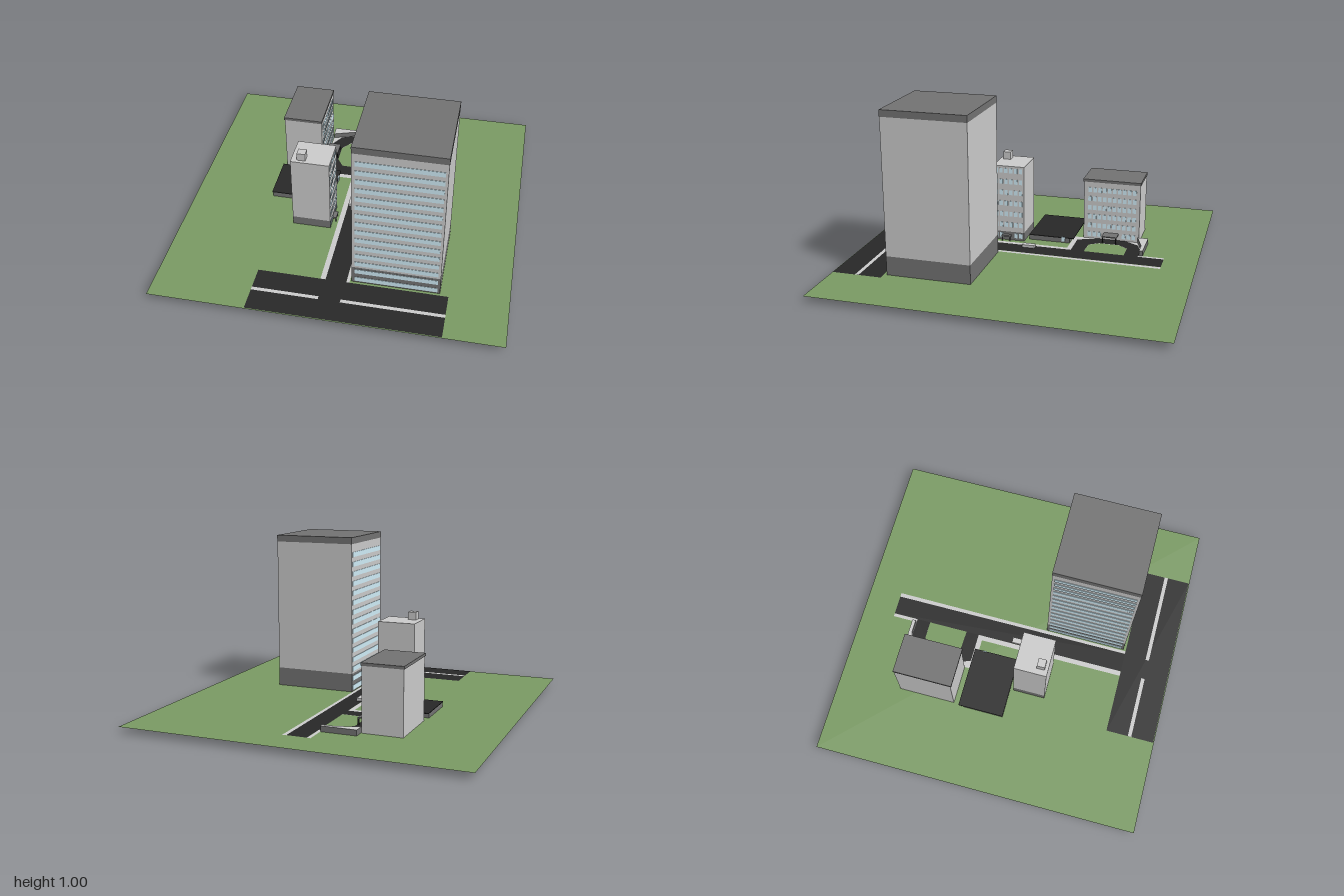
import * as THREE from 'three';

const mat = (color) => new THREE.MeshStandardMaterial({ color, side: THREE.DoubleSide });
const grass = mat(0x7a9a63), concrete = mat(0xcccccc), dark = mat(0x737373);
const asphalt = mat(0x282828), glass = mat(0xd0edf8);
const GROUND = 0.036;

export function createModel() {
  const model = new THREE.Group();

  // Box given by its minimum and maximum on each axis
  const box = (parent, name, material, x0, x1, y0, y1, z0, z1) => {
    const mesh = new THREE.Mesh(new THREE.BoxGeometry(x1 - x0, y1 - y0, z1 - z0), material);
    mesh.position.set((x0 + x1) / 2, (y0 + y1) / 2, (z0 + z1) / 2);
    mesh.name = name;
    parent.add(mesh);
  };
  // Flat outline in x and z, optionally with a hole or a thickness
  const flat = (parent, name, material, y, outline, hole, height = 0) => {
    const pts = (list) => list.map(([x, z]) => new THREE.Vector2(x, -z));
    const shape = new THREE.Shape(pts(outline));
    if (hole) shape.holes.push(new THREE.Path(pts(hole)));
    const geo = height
      ? new THREE.ExtrudeGeometry(shape, { depth: height, bevelEnabled: false })
      : new THREE.ShapeGeometry(shape);
    const mesh = new THREE.Mesh(geo.rotateX(-Math.PI / 2), material);
    mesh.position.y = y;
    mesh.name = name;
    parent.add(mesh);
  };
  const rect = (x0, x1, z0, z1) => [[x0, z0], [x0, z1], [x1, z1], [x1, z0]];
  const group = (name) => {
    const g = new THREE.Group();
    g.name = name;
    model.add(g);
    return g;
  };

  // Lawn
  flat(model, 'lawn', grass, GROUND, rect(-1, 1, -1, 1));

  // Streets and pavements, layered just above the lawn
  const streets = group('streets');
  const paveY = GROUND + 0.001, roadY = GROUND + 0.002, lineY = GROUND + 0.003;
  const island = [[-0.03, -0.56], [-0.15, -0.56], [-0.195, -0.5], [-0.195, -0.38], [-0.155, -0.32], [-0.03, -0.315]];
  flat(streets, 'leftPavement', concrete, paveY, rect(-0.07, -0.04, -0.205, 0.7));
  flat(streets, 'upperLeftPavement', concrete, paveY, rect(-0.06, -0.04, -0.8, -0.67));
  flat(streets, 'rightPavement', concrete, paveY, [[0.08, -0.8], [0.08, 0.7], [0.098, 0.7], [0.105, -0.8]]);
  flat(streets, 'loopPavement', concrete, paveY, rect(-0.27, -0.029, -0.67, -0.205), island);
  flat(streets, 'mainRoad', asphalt, roadY, rect(-0.04, 0.08, -0.8, 0.7));
  flat(streets, 'crossRoad', asphalt, roadY, rect(-0.435, 0.66, 0.7, 0.995));
  flat(streets, 'loopRoad', asphalt, roadY, [
    [-0.029, -0.645], [-0.14, -0.645], [-0.22, -0.615], [-0.27, -0.53],
    [-0.27, -0.36], [-0.22, -0.235], [-0.029, -0.235],
  ], island);
  for (const [x0, x1] of [[-0.435, -0.05], [0.075, 0.66]])
    flat(streets, 'roadLine', concrete, lineY, rect(x0, x1, 0.835, 0.857));

  // Raised wall around the back of the loop
  const backWall = [[-0.27, -0.67], [-0.27, -0.605], [-0.225, -0.62], [-0.14, -0.648], [-0.06, -0.648], [-0.06, -0.67]];
  flat(streets, 'loopWall', dark, GROUND, backWall, null, 0.033);
  flat(streets, 'loopWallTop', concrete, 0.07, backWall);

  // Low parking deck with a thin overhanging top
  const deck = group('parkingDeck');
  box(deck, 'deckWalls', dark, -0.52, -0.15, 0.035, 0.066, -0.2, 0.055);
  box(deck, 'deckTop', asphalt, -0.525, -0.145, 0.066, 0.07, -0.227, 0.056);
  box(deck, 'deckWindow', glass, -0.15, -0.144, 0.045, 0.074, -0.172, -0.15);

  // Tall tower: dark base and cap, window bands on the front and left-hand sides
  const tower = group('tallTower');
  box(tower, 'towerBase', dark, 0.107, 0.61, 0, 0.15, 0.18, 0.683);
  box(tower, 'towerBody', concrete, 0.107, 0.61, 0.15, 0.96, 0.18, 0.683);
  box(tower, 'towerCap', dark, 0.106, 0.611, 0.96, 1, 0.179, 0.684);
  for (let i = 0; i < 15; i++) {
    const y = 0.06 + i * 0.0596;
    box(tower, 'frontWindowBand', glass, 0.125, 0.595, y - 0.015, y + 0.015, 0.68, 0.685);
    box(tower, 'sideWindowBand', glass, 0.104, 0.11, y - 0.015, y + 0.015, 0.195, 0.668);
  }

  // Grid of windows on a wall that faces +x
  const windows = (parent, x, zs, ys, w, h, skip = () => false) => {
    for (const z of zs) for (const y of ys)
      if (!skip(z, y)) box(parent, 'window', glass, x - 0.002, x + 0.002, y - h / 2, y + h / 2, z - w / 2, z + w / 2);
  };
  const steps = (n, start, step) => Array.from({ length: n }, (_, i) => start + i * step);

  // Middle tower with rooftop hut and door canopy
  const middle = group('middleTower');
  box(middle, 'middleBase', dark, -0.335, -0.105, 0.03, 0.09, 0.078, 0.275);
  box(middle, 'middleBody', concrete, -0.335, -0.105, 0.09, 0.515, 0.078, 0.275);
  box(middle, 'rooftopHut', concrete, -0.3, -0.25, 0.515, 0.562, 0.207, 0.255);
  windows(middle, -0.105, steps(6, 0.1, 0.031), steps(7, 0.066, 0.07), 0.021, 0.03,
    (z, y) => y < 0.09 && z > 0.15 && z < 0.22);
  box(middle, 'doorCanopy', dark, -0.105, -0.08, 0.062, 0.072, 0.16, 0.217);
  for (const z of [0.165, 0.212])
    box(middle, 'canopyPost', dark, -0.085, -0.081, 0.025, 0.062, z - 0.003, z + 0.003);

  // Rear block facing the loop, with an entrance canopy on posts
  const block = group('rearBlock');
  box(block, 'blockBody', concrete, -0.51, -0.273, 0.02, 0.405, -0.612, -0.262);
  box(block, 'blockRoof', dark, -0.513, -0.27, 0.405, 0.422, -0.615, -0.255);
  windows(block, -0.273, steps(10, -0.578, 0.031), steps(6, 0.065, 0.058), 0.022, 0.03,
    (z, y) => y < 0.09 && z > -0.49 && z < -0.38);
  box(block, 'entranceCanopy', dark, -0.273, -0.2, 0.076, 0.082, -0.485, -0.392);
  for (const z of [-0.48, -0.397])
    box(block, 'entrancePost', asphalt, -0.207, -0.2, 0.018, 0.076, z - 0.003, z + 0.003);

  // Vehicle on the main road
  box(model, 'vehicle', concrete, -0.037, -0.002, 0.032, 0.055, -0.015, 0.062);

  return model;
}
